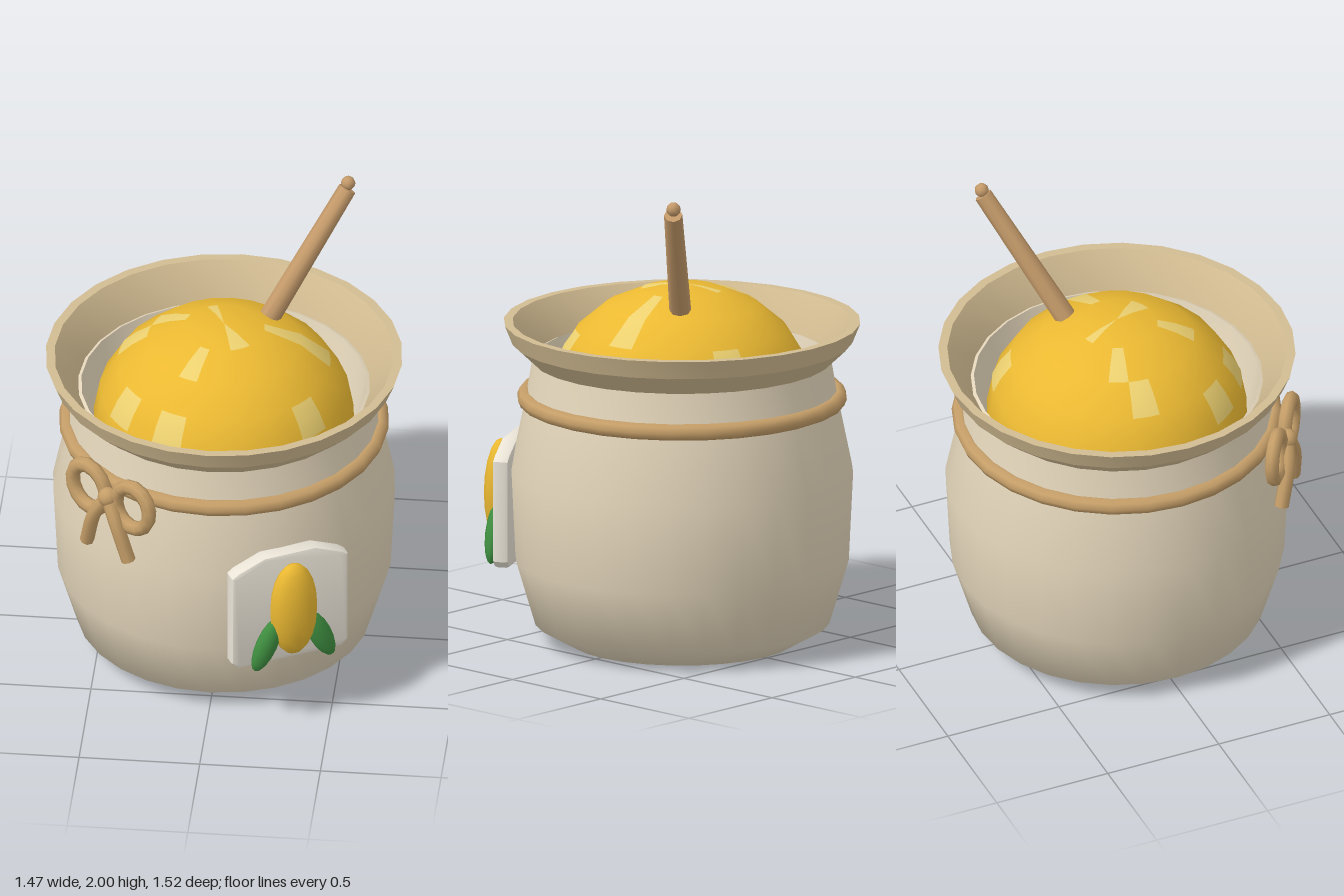
import * as THREE from 'three';
import { toCreasedNormals } from 'three/addons/utils/BufferGeometryUtils.js';

const mat = (color) => new THREE.MeshStandardMaterial({ color });
const clay = mat(0xe3d5ba), rimTan = mat(0xd2bc92), gold = mat(0xebb932), shine = mat(0xecd070);
const rope = mat(0xc59e68), wood = mat(0xc49a6a), paper = mat(0xe9e3d6), green = mat(0x3f8f40);

function add(parent, name, geometry, material, x = 0, y = 0, z = 0) {
  const mesh = new THREE.Mesh(geometry, material);
  mesh.name = name;
  mesh.position.set(x, y, z);
  parent.add(mesh);
  return mesh;
}

function lathe(points, crease) {
  const g = new THREE.LatheGeometry(points.map(([r, y]) => new THREE.Vector2(r, y)), 28);
  return toCreasedNormals(g, crease);
}

// Group sitting on the jar wall: local z points outward, local x runs along the wall
function wallGroup(parent, name, angle, radius) {
  const g = new THREE.Group();
  g.name = name;
  g.rotation.y = angle;
  g.position.set(Math.sin(angle) * radius, 0, Math.cos(angle) * radius);
  parent.add(g);
  return g;
}

function tube(points, radius) {
  const curve = new THREE.CatmullRomCurve3(points.map((p) => new THREE.Vector3(...p)));
  return new THREE.TubeGeometry(curve, 10, radius, 8, false);
}

export function createModel() {
  const model = new THREE.Group();
  model.name = 'honeyPot';
  const jar = new THREE.Group();
  jar.name = 'jar';
  jar.position.z = -0.018;
  model.add(jar);

  // Jar wall, outside then over the lip to the inside
  add(jar, 'body', lathe([
    [0, 0], [0.47, 0], [0.61, 0.08], [0.69, 0.35], [0.708, 0.72], [0.65, 1.0],
    [0.615, 1.2], [0.59, 1.21], [0.56, 1.08], [0.53, 0.98],
  ], 1.0), clay);

  // Flared rim
  add(jar, 'rim', lathe([
    [0.595, 1.18], [0.61, 1.18], [0.705, 1.27], [0.737, 1.35], [0.7, 1.35], [0.6, 1.2], [0.595, 1.18],
  ], 0.4), rimTan);

  // Domed filling, with pale glints lying on single facets
  const SEG = 24, ROWS = 10;
  const dome = new THREE.Group();
  dome.name = 'filling';
  dome.position.y = 1.05;
  dome.scale.set(0.54, 0.457, 0.54);
  jar.add(dome);
  add(dome, 'fillingDome', new THREE.SphereGeometry(1, SEG, ROWS), gold);
  const da = (Math.PI * 2) / SEG, dt = Math.PI / ROWS;
  // segment counted from +x toward +z, first row, segments wide, rows tall
  const glints = [
    [-1, 1, 1, 2], [12, 2, 1, 1], [13, 1, 1, 1], [-5, 3, 1, 1], [-8, 0, 1, 1],
    [3, 0, 2, 1], [7, 1, 1, 1], [9, 3, 1, 1], [2, 3, 1, 1], [7, 3, 1, 1],
  ];
  for (const [s, row, w, h] of glints) {
    const g = new THREE.SphereGeometry(1.005, w, h, Math.PI - (s + w) * da, w * da, row * dt, h * dt);
    add(dome, 'glint', g, shine);
  }

  // Dipper stick leaning out of the filling
  const a = new THREE.Vector3(0.175, 1.45, -0.155), b = new THREE.Vector3(0.472, 1.945, -0.395);
  const stick = add(jar, 'stick',
    toCreasedNormals(new THREE.CylinderGeometry(0.038, 0.045, a.distanceTo(b), 8), 0.9), wood);
  stick.position.copy(a).lerp(b, 0.5);
  stick.quaternion.setFromUnitVectors(new THREE.Vector3(0, 1, 0), b.clone().sub(a).normalize());
  add(jar, 'stickTip', new THREE.SphereGeometry(0.03, 8, 6), wood, 0.475, 1.97, -0.4);

  // Cord around the neck
  add(jar, 'cord', new THREE.TorusGeometry(0.647, 0.035, 8, 28), rope, 0, 1.03, 0).rotation.x = Math.PI / 2;

  // Bow: two loops, two tails and a knot
  const bow = wallGroup(jar, 'bow', -0.63, 0.7);
  bow.position.y = 1.01;
  for (const side of [-1, 1]) {
    const loop = add(bow, 'bowLoop', new THREE.TorusGeometry(0.09, 0.03, 8, 14), rope, side * 0.12, -0.01, 0);
    loop.scale.set(1, 1.12, 1);
    loop.rotation.z = -side * 0.3;
    const tail = tube([[0, 0, 0.02], [side * 0.06, -0.1, 0.035], [side * 0.115, -0.265, 0.02]], 0.03);
    add(bow, 'bowTail', tail, rope);
    add(bow, 'bowTailEnd', new THREE.CircleGeometry(0.03, 8), rope, side * 0.115, -0.265, 0.02)
      .rotation.set(Math.PI / 2, 0, 0);
  }
  add(bow, 'bowKnot', new THREE.SphereGeometry(0.042, 10, 8), rope, 0, 0, 0.02);

  // Label plate with an arched top and softened edges
  const label = wallGroup(jar, 'label', 0.478, 0.707);
  const e = 0.015, w = 0.258 - e;
  const outline = new THREE.Shape([
    [-w + 0.02, 0.31 + e], [w - 0.02, 0.31 + e], [w, 0.33 + e], [w, 0.77 - e], [w - 0.02, 0.785 - e],
    [0.11, 0.832 - e], [-0.11, 0.832 - e], [-w + 0.02, 0.785 - e], [-w, 0.77 - e], [-w, 0.33 + e],
  ].map(([x, y]) => new THREE.Vector2(x, y)));
  const plate = new THREE.ExtrudeGeometry(outline, {
    depth: 0.04, bevelEnabled: true, bevelSize: e, bevelThickness: e, bevelSegments: 2,
  });
  add(label, 'labelPlate', toCreasedNormals(plate, 0.7), paper, 0, 0, -0.02);

  // Corn cob with a leaf on each side
  add(label, 'cob', new THREE.SphereGeometry(1, 12, 10), gold, 0, 0.58, 0.069).scale.set(0.104, 0.222, 0.068);
  for (const side of [-1, 1]) {
    const leaf = add(label, 'leaf', new THREE.SphereGeometry(1, 10, 8), green, side * 0.118, 0.425, 0.065);
    leaf.scale.set(0.048, 0.13, 0.036);
    leaf.rotation.z = side * 0.42;
  }
  return model;
}
